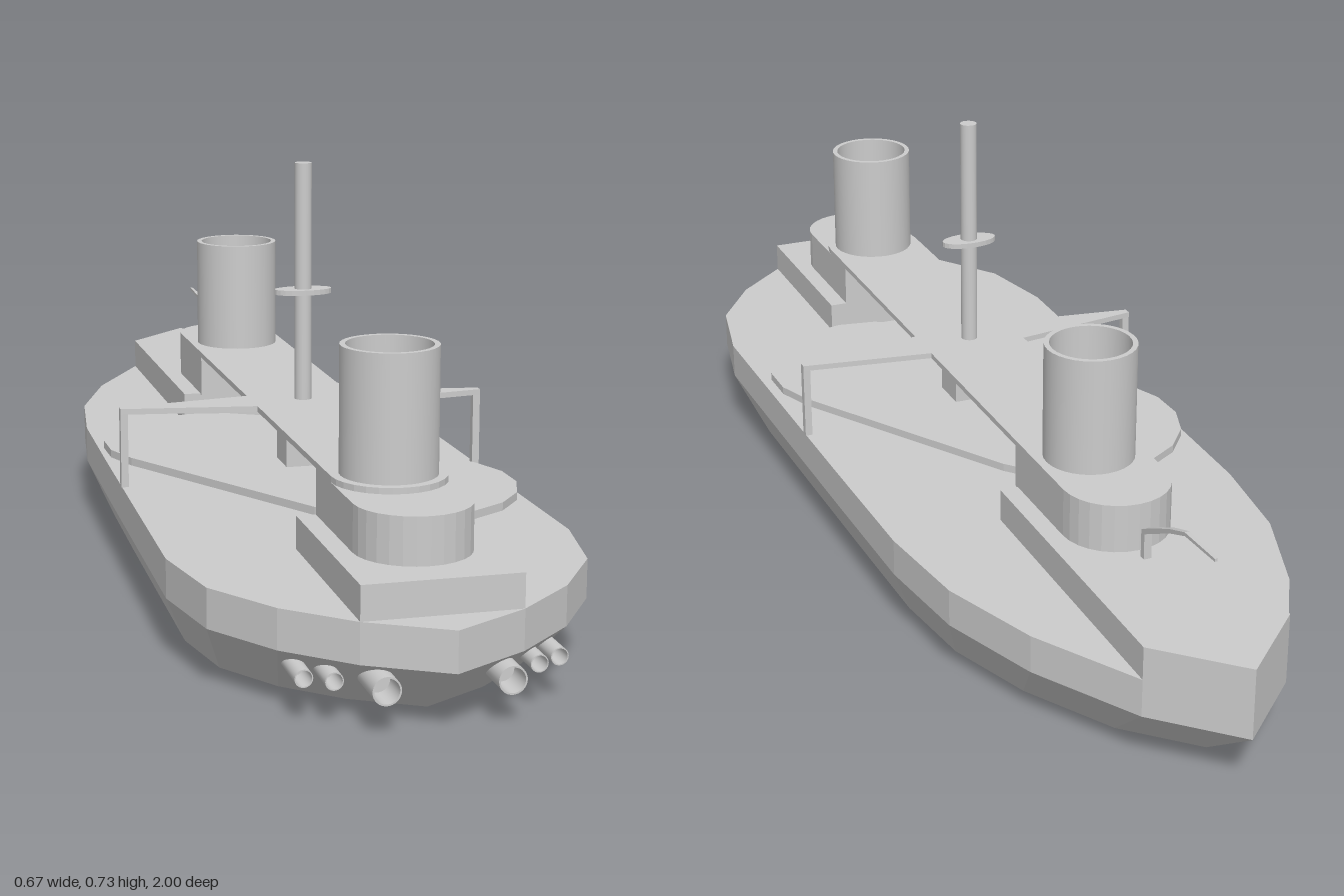
import * as THREE from 'three';

export function createModel() {
  const model = new THREE.Group();
  const flat = new THREE.MeshStandardMaterial({ color: 0xcccccc, flatShading: true, side: THREE.DoubleSide });
  const smooth = new THREE.MeshStandardMaterial({ color: 0xcccccc, side: THREE.DoubleSide });

  const add = (name, geometry, material = flat) => {
    const mesh = new THREE.Mesh(geometry, material);
    mesh.name = name;
    model.add(mesh);
    return mesh;
  };
  const box = (name, w, h, d, x, y, z) => add(name, new THREE.BoxGeometry(w, h, d).translate(x, y, z));

  // Horizontal slab from a plan outline of [x, z] points
  const slab = (name, plan, y0, y1) => {
    const shape = new THREE.Shape(plan.map(([x, z]) => new THREE.Vector2(x, -z)));
    const g = new THREE.ExtrudeGeometry(shape, { depth: y1 - y0, bevelEnabled: false });
    return add(name, g.rotateX(-Math.PI / 2).translate(0, y0, 0));
  };

  // Half-circle of [x, z] points going from +x round to -x; dir is the z side it bulges to
  const arc = (r, cz, dir, n = 14) => Array.from({ length: n + 1 }, (_, i) => {
    const a = (i / n) * Math.PI;
    return [r * Math.cos(a), cz + dir * r * Math.sin(a)];
  });

  // Open tube with wall thickness and an inner floor
  const pipe = (r, ri, h, floor) => new THREE.LatheGeometry(
    [[r, 0], [r, h], [r, h], [ri, h], [ri, h], [ri, floor], [ri, floor], [0, floor]]
      .map(([x, y]) => new THREE.Vector2(x, y)), 32);

  // Hull: mirrored plan outline lofted through three levels
  const half = [[0.125, -0.88], [0.23, -0.7], [0.295, -0.52], [0.32, -0.33], [0.326, -0.05],
    [0.331, 0.25], [0.336, 0.56], [0.305, 0.72], [0.225, 0.84], [0.125, 0.93]];
  const outline = [[0, -1], ...half, [0, 1], ...half.map(([x, z]) => [-x, z]).reverse()];
  const rings = [[0, 0.865, 0.86], [0.1, 1, 1], [0.165, 1, 1]]
    .map(([y, sx, sz]) => outline.map(([x, z]) => [x * sx, y, z * sz]));
  const tris = [];
  outline.forEach((_, i) => {
    const j = (i + 1) % outline.length;
    for (let k = 0; k < 2; k++) {
      const a = rings[k][i], b = rings[k][j], c = rings[k + 1][j], d = rings[k + 1][i];
      tris.push(...a, ...d, ...c, ...a, ...c, ...b);
    }
    tris.push(0, 0, 0, ...rings[0][i], ...rings[0][j]);
    tris.push(0, 0.165, 0, ...rings[2][j], ...rings[2][i]);
  });
  const hullGeometry = new THREE.BufferGeometry();
  hullGeometry.setAttribute('position', new THREE.Float32BufferAttribute(tris, 3));
  hullGeometry.computeVertexNormals();
  add('hull', hullGeometry);

  // Raised decks at both ends
  box('bowDeck', 0.25, 0.055, 0.37, 0, 0.1925, 0.745);
  slab('sternDeck', [[0.125, -0.33], [0.125, -0.88], [0, -1], [-0.125, -0.88], [-0.125, -0.33]], 0.165, 0.222);

  // Deckhouses with rounded outer ends
  slab('bowHouse', [[0.093, 0.56], ...arc(0.093, 0.775, 1), [-0.093, 0.56]], 0.22, 0.296);
  slab('sternHouse', [[0.093, -0.32], ...arc(0.093, -0.517, -1), [-0.093, -0.32]], 0.22, 0.306);

  // Funnels
  for (const [name, z, y] of [['bowFunnel', 0.65, 0.295], ['sternFunnel', -0.415, 0.305]]) {
    add(name, pipe(0.078, 0.069, 0.51 - y, 0.02).translate(0, y, z), smooth);
  }

  // Flying bridge with tapered side arms
  const mid = 0.117;
  slab('flyingBridge', [[0.093, -0.32], [0.093, mid - 0.042], [0.33, mid - 0.007], [0.33, mid + 0.007],
    [0.093, mid + 0.042], ...arc(0.093, 0.65, 1), [-0.093, mid + 0.042], [-0.33, mid + 0.007],
    [-0.33, mid - 0.007], [-0.093, mid - 0.042], [-0.093, -0.32]], 0.296, 0.306);
  for (const s of [1, -1]) box('bridgePost', 0.013, 0.132, 0.014, s * 0.3235, 0.231, mid);
  box('bridgeSupport', 0.08, 0.132, 0.072, 0, 0.231, 0.122);

  // Mast with oval lookout platform
  add('mast', new THREE.CylinderGeometry(0.015, 0.015, 0.56, 20).translate(0, 0.447, mid), smooth);
  add('lookout', new THREE.CylinderGeometry(0.025, 0.025, 0.009, 24).scale(2.05, 1, 1).translate(0, 0.5, mid));

  // Diagonal round-ended platform amidships
  const r = 0.206, reach = 0.23;
  const oblong = [...arc(r, reach, 1, 9), ...arc(r, -reach, -1, 9).reverse()];
  const turn = 0.54, c = Math.cos(turn), s = Math.sin(turn);
  slab('diagonalPlatform', oblong.map(([x, z]) => [x * c + z * s, mid + z * c - x * s]), 0.178, 0.192);

  // Curved stern crane, drawn in side profile (distance aft, height)
  const upper = [[0.63, 0.272], [0.66, 0.288], [0.72, 0.317], [0.77, 0.336], [0.865, 0.338]];
  const profile = [[0.63, 0.22], ...upper, [0.865, 0.333], [0.772, 0.33], [0.722, 0.31],
    [0.664, 0.28], [0.641, 0.268], [0.641, 0.22]];
  const crane = new THREE.ExtrudeGeometry(
    new THREE.Shape(profile.map(([a, y]) => new THREE.Vector2(a, y))), { depth: 0.014, bevelEnabled: false });
  crane.translate(0, 0, -0.007).rotateY(Math.PI / 2);
  const p = crane.attributes.position;
  for (let i = 0; i < p.count; i++) {
    const t = (-p.getZ(i) - 0.63) / 0.235;
    p.setX(i, p.getX(i) * (1 - 0.65 * t));
  }
  crane.computeVertexNormals();
  add('crane', crane);

  // Bow tubes, mirrored in pairs: x, radius, front end
  for (const [x, radius, end] of [[0.095, 0.022, 0.968], [0.157, 0.014, 0.91], [0.197, 0.014, 0.888]]) {
    for (const side of [1, -1]) {
      add('bowTube', pipe(radius, radius * 0.88, 0.15, 0.1)
        .rotateX(Math.PI / 2).translate(side * x, 0.071, end - 0.15), smooth);
    }
  }
  return model;
}
